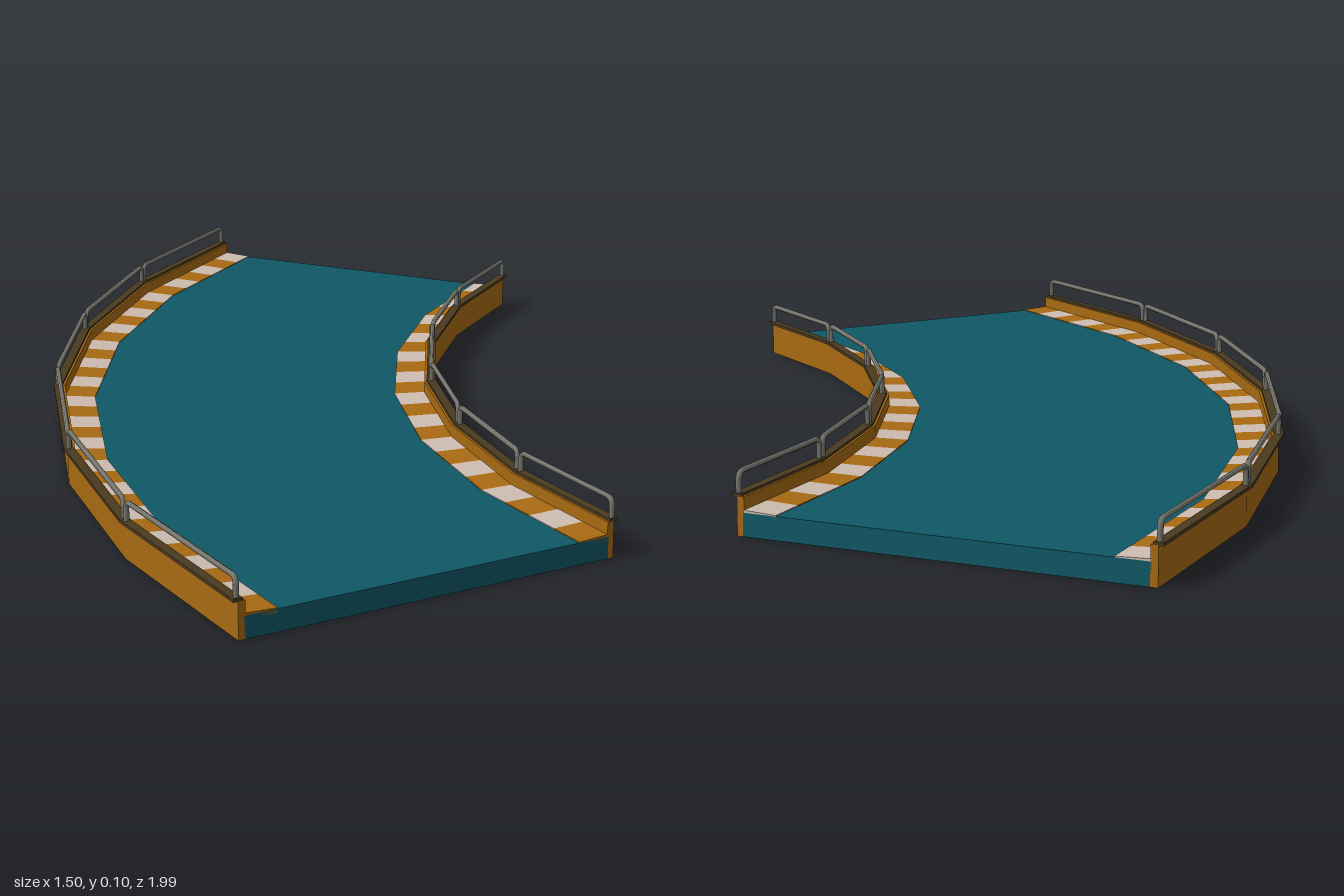
import * as THREE from 'three';

const CX = 1.55, CZ = -1;            // centre of the bend
const R_OUT = 2.3, R_IN = 1.61;      // outermost and innermost radius
const SEGMENTS = 6, STEP = Math.PI / 18;

const mat = (color) => new THREE.MeshStandardMaterial({ color, flatShading: true });

// Point at radius r, height y and t segments along the faceted bend
function at(r, y, t) {
  const i = Math.min(Math.floor(t + 1e-6), SEGMENTS - 1);
  const joint = (k) => new THREE.Vector3(CX - r * Math.cos(k * STEP), y, CZ + r * Math.sin(k * STEP));
  return joint(i).lerp(joint(i + 1), t - i);
}

// Sweeps convex [radius, height] sections along the bend from t0 to t1, with end caps
function addSweep(pos, section, t0, t1) {
  const pts = section.map(([r, y]) => new THREE.Vector2(r, y));
  if (THREE.ShapeUtils.area(pts) < 0) pts.reverse();
  const stations = [t0];
  for (let k = Math.floor(t0 + 1e-6) + 1; k < t1 - 1e-6; k++) stations.push(k);
  stations.push(t1);
  const rings = stations.map((t) => pts.map((p) => at(p.x, p.y, t)));
  const tri = (...v) => v.forEach((p) => pos.push(p.x, p.y, p.z));
  const n = pts.length;
  for (let s = 0; s < rings.length - 1; s++) {
    for (let a = 0; a < n; a++) {
      const b = (a + 1) % n, [p, q] = [rings[s], rings[s + 1]];
      tri(q[a], q[b], p[b]);
      tri(q[a], p[b], p[a]);
    }
  }
  const first = rings[0], last = rings[rings.length - 1];
  for (let a = 1; a < n - 1; a++) {
    tri(first[0], first[a], first[a + 1]);
    tri(last[0], last[a + 1], last[a]);
  }
}

function meshFrom(name, pos, material) {
  const g = new THREE.BufferGeometry();
  g.setAttribute('position', new THREE.Float32BufferAttribute(pos, 3));
  g.computeVertexNormals();
  const m = new THREE.Mesh(g, material);
  m.name = name;
  return m;
}

function sweep(name, section, material) {
  const pos = [];
  addSweep(pos, section, 0, SEGMENTS);
  return meshFrom(name, pos, material);
}

const rect = (r0, r1, y0, y1) => [[r0, y0], [r1, y0], [r1, y1], [r0, y1]];

// Rounded hoop of railing spanning one segment
function hoop(r, seg, material) {
  const a = at(r, 0, seg), b = at(r, 0, seg + 1);
  const dir = b.clone().sub(a), len = dir.length();
  dir.normalize();
  const p = (d, y) => a.clone().addScaledVector(dir, d).setY(y);
  const inset = 0.007, foot = 0.06, top = 0.095, c = 0.013, e = len - inset;
  const path = new THREE.CurvePath();
  path.add(new THREE.LineCurve3(p(inset, foot), p(inset, top - c)));
  path.add(new THREE.QuadraticBezierCurve3(p(inset, top - c), p(inset, top), p(inset + c, top)));
  path.add(new THREE.LineCurve3(p(inset + c, top), p(e - c, top)));
  path.add(new THREE.QuadraticBezierCurve3(p(e - c, top), p(e, top), p(e, top - c)));
  path.add(new THREE.LineCurve3(p(e, top - c), p(e, foot)));
  const m = new THREE.Mesh(new THREE.TubeGeometry(path, 70, 0.0045, 6), material);
  m.name = 'railHoop';
  return m;
}

export function createModel() {
  const model = new THREE.Group();
  model.name = 'curvedTrack';
  const teal = mat(0x0f5866), amber = mat(0xa86a12), pale = mat(0xcdbcb0), dark = mat(0x4a3a20);
  const metal = new THREE.MeshStandardMaterial({ color: 0x77776f });

  // Road slab
  model.add(sweep('road', rect(R_IN + 0.018, R_OUT - 0.018, 0, 0.036), teal));

  // Kerb, wall, cap and railing on each edge; d is the distance in from the edge
  for (const [side, edge, inward, stripes] of [['outer', R_OUT, -1, 6], ['inner', R_IN, 1, 4]]) {
    const group = new THREE.Group();
    group.name = side + 'Edge';
    const off = (section) => section.map(([d, y]) => [edge + inward * d, y]);

    group.add(sweep('wall', off(rect(0.008, 0.02, 0, 0.06)), amber));
    group.add(sweep('wallCap', off(rect(0, 0.016, 0.059, 0.064)), dark));

    // Alternating kerb stripes
    const kerb = off([[0.018, 0.03], [0.074, 0.03], [0.074, 0.0375], [0.018, 0.04]]);
    const parts = [[], []];
    for (let k = 0; k < SEGMENTS * stripes; k++) {
      addSweep(parts[k % 2], kerb, k / stripes, (k + 1) / stripes);
    }
    group.add(meshFrom('kerbPaleStripes', parts[0], pale));
    group.add(meshFrom('kerbAmberStripes', parts[1], amber));

    const railing = new THREE.Group();
    railing.name = 'railing';
    for (let s = 0; s < SEGMENTS; s++) railing.add(hoop(edge + inward * 0.008, s, metal));
    group.add(railing);
    model.add(group);
  }
  return model;
}
